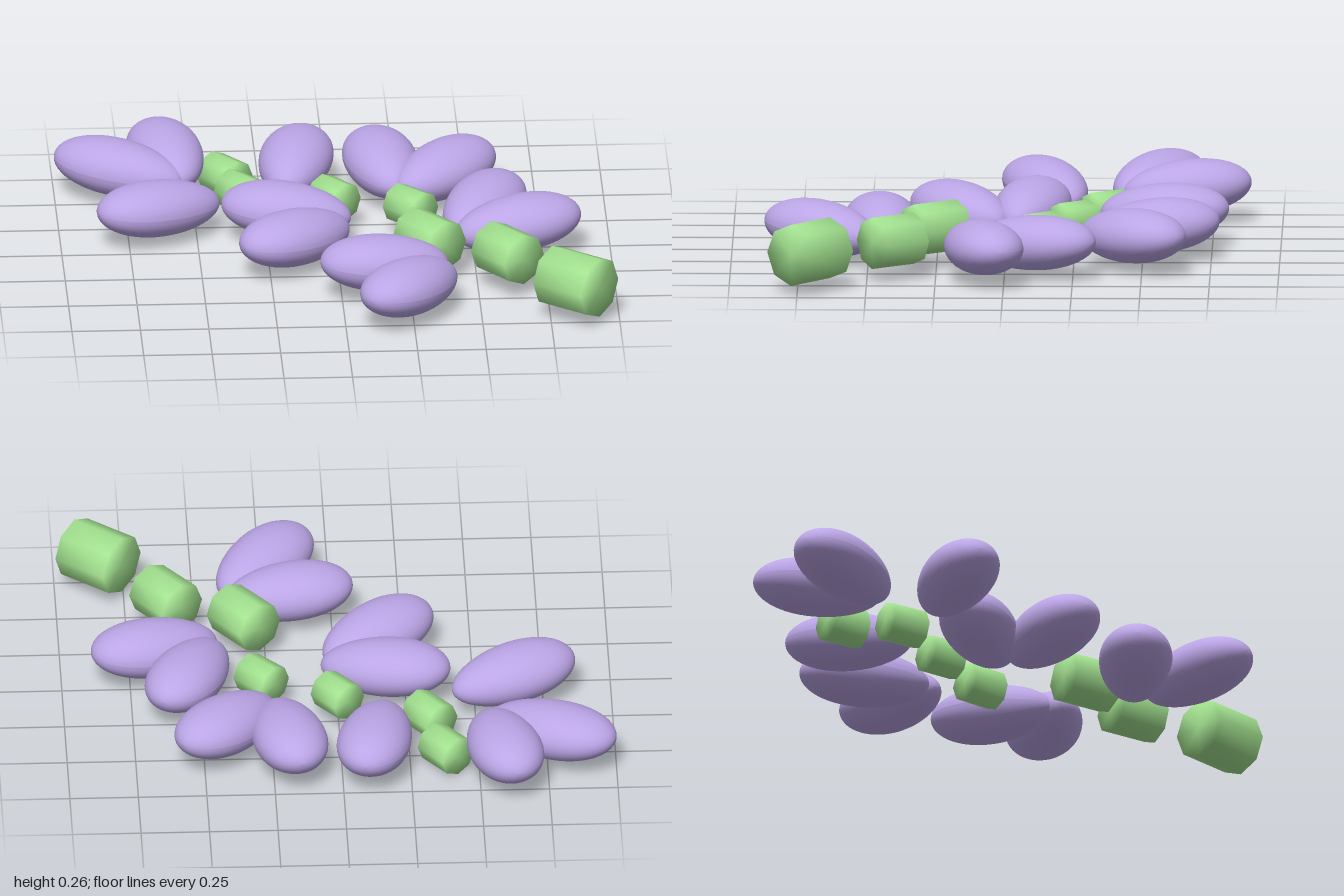
import * as THREE from 'three';
import { mergeVertices } from 'three/addons/utils/BufferGeometryUtils.js';

const petalMaterial = new THREE.MeshStandardMaterial({ color: 0xbba5e6 });
const stemMaterial = new THREE.MeshStandardMaterial({ color: 0xa3e290 });

// Unit egg along z: the outer end (-z) is fuller, the inner end (+z) narrower.
function eggGeometry() {
  const geometry = new THREE.SphereGeometry(1, 40, 28);
  geometry.rotateX(Math.PI / 2);
  const p = geometry.attributes.position;
  for (let i = 0; i < p.count; i++) {
    const k = 1 - 0.13 * p.getZ(i);
    p.setXY(i, p.getX(i) * k, p.getY(i) * (1 - 0.05 * p.getZ(i)));
  }
  geometry.computeVertexNormals();
  return geometry;
}

// Unit eight-sided bead along z, its rim normals shared by caps and sides.
function beadGeometry() {
  const raw = new THREE.CylinderGeometry(1, 1, 2, 8);
  raw.rotateX(Math.PI / 2);
  raw.deleteAttribute('uv');
  raw.deleteAttribute('normal');
  const geometry = mergeVertices(raw, 1e-4);
  geometry.computeVertexNormals();
  return geometry;
}

// Petals: centre x, y, z, then inward direction x, z, and half length.
const petals = [
  [-0.765, 0.13, -0.54, 0.88, 0.47, 0.255],
  [-0.587, 0.135, -0.652, 0.2, 0.97, 0.237],
  [-0.122, 0.13, -0.575, -0.2, 0.98, 0.239],
  [0.195, 0.13, -0.545, 0.18, 0.98, 0.238],
  [0.415, 0.133, -0.462, -0.69, 0.72, 0.238],
  [0.54, 0.128, -0.105, -0.42, 0.91, 0.244],
  [0.66, 0.133, 0.08, -0.95, 0.3, 0.24],
  [-0.64, 0.128, -0.14, 0.9, -0.42, 0.244],
  [-0.177, 0.133, -0.087, 0.97, 0.23, 0.24],
  [-0.155, 0.126, 0.165, 0.78, -0.62, 0.242],
  [0.155, 0.133, 0.45, 0.99, -0.12, 0.236],
  [0.24, 0.127, 0.67, 0.62, -0.78, 0.242],
];

// Stem beads: centre x, y, z, then axis direction x, z, radius, half length.
const beads = [
  [-0.378, 0.077, -0.575, 0.6, 0.8, 0.074, 0.072],
  [-0.327, 0.093, -0.363, 0.6, 0.8, 0.073, 0.072],
  [0.005, 0.115, -0.248, 0.62, 0.78, 0.071, 0.067],
  [0.278, 0.12, -0.127, 0.67, 0.74, 0.073, 0.07],
  [0.328, 0.145, 0.256, 0.6, 0.8, 0.095, 0.096],
  [0.606, 0.145, 0.405, 0.6, 0.8, 0.095, 0.094],
  [0.841, 0.146, 0.703, 0.77, 0.64, 0.113, 0.109],
];

export function createModel() {
  const model = new THREE.Group();
  model.name = 'flowerSprig';

  const egg = eggGeometry();
  petals.forEach(([x, y, z, dx, dz, length], i) => {
    const petal = new THREE.Mesh(egg, petalMaterial);
    petal.name = `petal${i + 1}`;
    petal.position.set(x, y, z);
    petal.scale.set(0.133, 0.1, length);
    petal.lookAt(x + dx, y - 0.07, z + dz); // inner end dips slightly
    model.add(petal);
  });

  const bead = beadGeometry();
  beads.forEach(([x, y, z, dx, dz, radius, half], i) => {
    const segment = new THREE.Mesh(bead, stemMaterial);
    segment.name = `stemSegment${i + 1}`;
    segment.position.set(x, y, z);
    segment.scale.set(radius, radius, half);
    segment.lookAt(x + dx, y, z + dz);
    model.add(segment);
  });

  return model;
}
